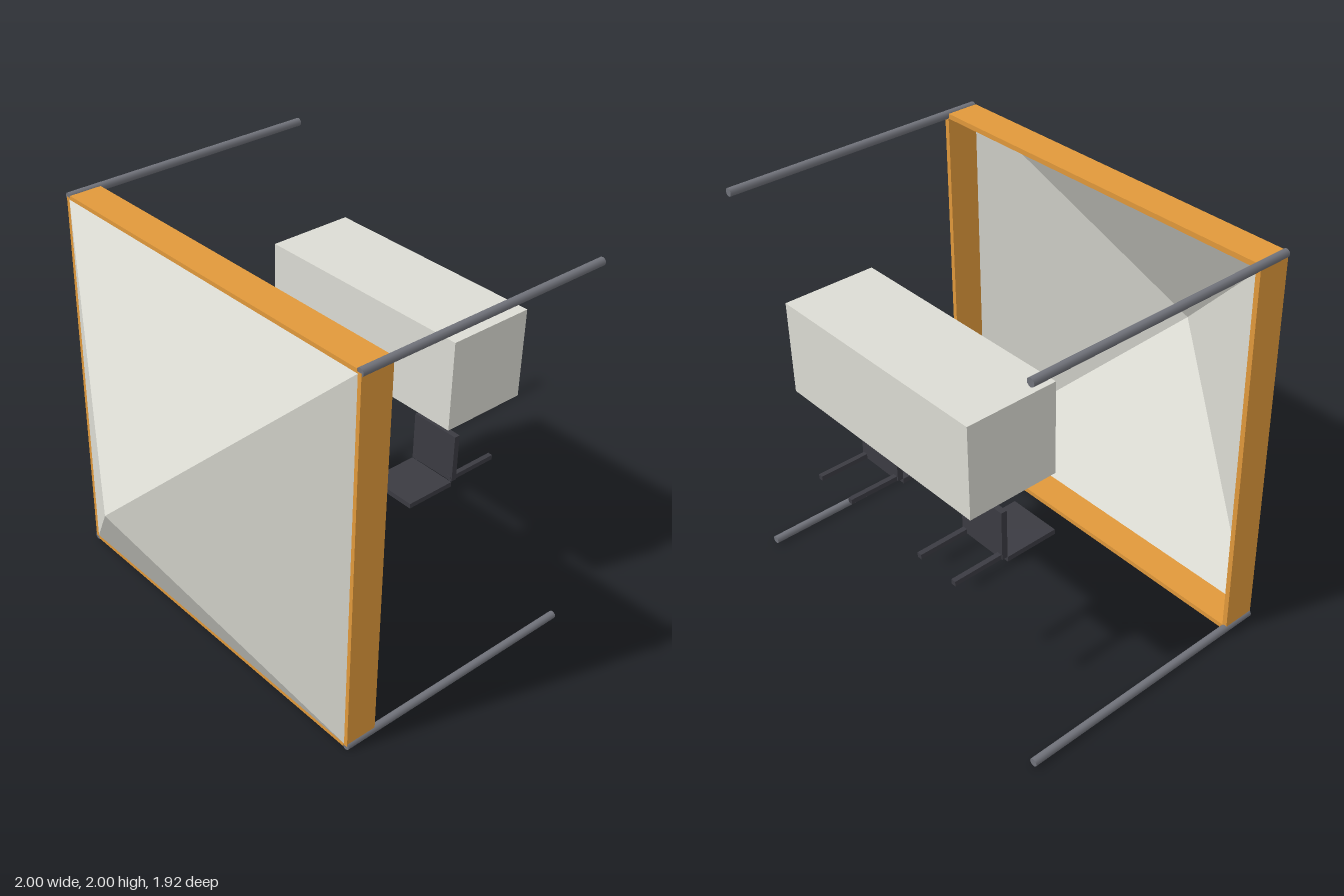
import * as THREE from 'three';

const mat = (name, color, side = THREE.FrontSide) => {
  const m = new THREE.MeshStandardMaterial({ color, side });
  m.name = name;
  return m;
};

export function createModel() {
  const cloth = mat('off white cloth', 0xdcdcd4, THREE.DoubleSide);
  const orange = mat('orange valance', 0xe1993b);
  const steel = mat('grey steel', 0x71737b);
  const dark = mat('dark chair', 0x3b3b42);

  const model = new THREE.Group();
  model.name = 'canopyTent';

  const add = (parent, name, geometry, material, x, y, z) => {
    const mesh = new THREE.Mesh(geometry, material);
    mesh.name = name;
    mesh.position.set(x, y, z);
    parent.add(mesh);
    return mesh;
  };
  // Box given by its centre and size
  const box = (parent, name, material, [x, y, z], [w, h, d]) =>
    add(parent, name, new THREE.BoxGeometry(w, h, d), material, x, y, z);

  const midY = 1, reach = 0.978, front = 0.415, back = -0.96;

  // Open four-sided canopy, its apex pointing forward
  const r = 0.973;
  const apex = [0, 0, 0.545];
  const corners = [[-r, -r, 0], [r, -r, 0], [r, r, 0], [-r, r, 0]];
  const points = corners.flatMap((c, i) => [...c, ...corners[(i + 1) % 4], ...apex]);
  const roof = new THREE.BufferGeometry();
  roof.setAttribute('position', new THREE.Float32BufferAttribute(points, 3));
  roof.computeVertexNormals();
  add(model, 'canopy', roof, cloth, 0, midY, front);

  // Valance strips around the canopy base
  const valance = new THREE.Group();
  valance.name = 'valance';
  model.add(valance);
  const stripZ = 0.333, stripDepth = 0.167, thick = 0.025;
  for (const s of [-1, 1]) {
    box(valance, 'sideValance', orange, [s * reach, midY, stripZ], [thick, 2 * reach, stripDepth]);
    box(valance, 'crossValance', orange, [0, midY + s * reach, stripZ],
      [2 * reach - thick, thick, stripDepth]);
  }

  // Four corner poles
  const pole = new THREE.CylinderGeometry(0.02, 0.02, front - back, 12).rotateX(Math.PI / 2);
  for (const sx of [-1, 1])
    for (const sy of [-1, 1])
      add(model, 'pole', pole, steel, sx * 0.98, midY + sy * 0.98, (front + back) / 2);

  // Covered table
  box(model, 'table', cloth, [0, 1.358, -0.73], [1.224, 0.46, 0.46]);

  // Two chairs, each with two slim legs
  for (const s of [-1, 1]) {
    const chair = new THREE.Group();
    chair.name = 'chair';
    chair.position.x = s * 0.367;
    model.add(chair);
    box(chair, 'chairBack', dark, [0, 0.683, -0.537], [0.267, 0.026, 0.274]);
    box(chair, 'chairSeat', dark, [0, 0.826, -0.69], [0.267, 0.256, 0.03]);
    for (const t of [-1, 1])
      box(chair, 'chairLeg', dark, [t * 0.115, 0.71, -0.817], [0.025, 0.025, 0.286]);
  }
  return model;
}
